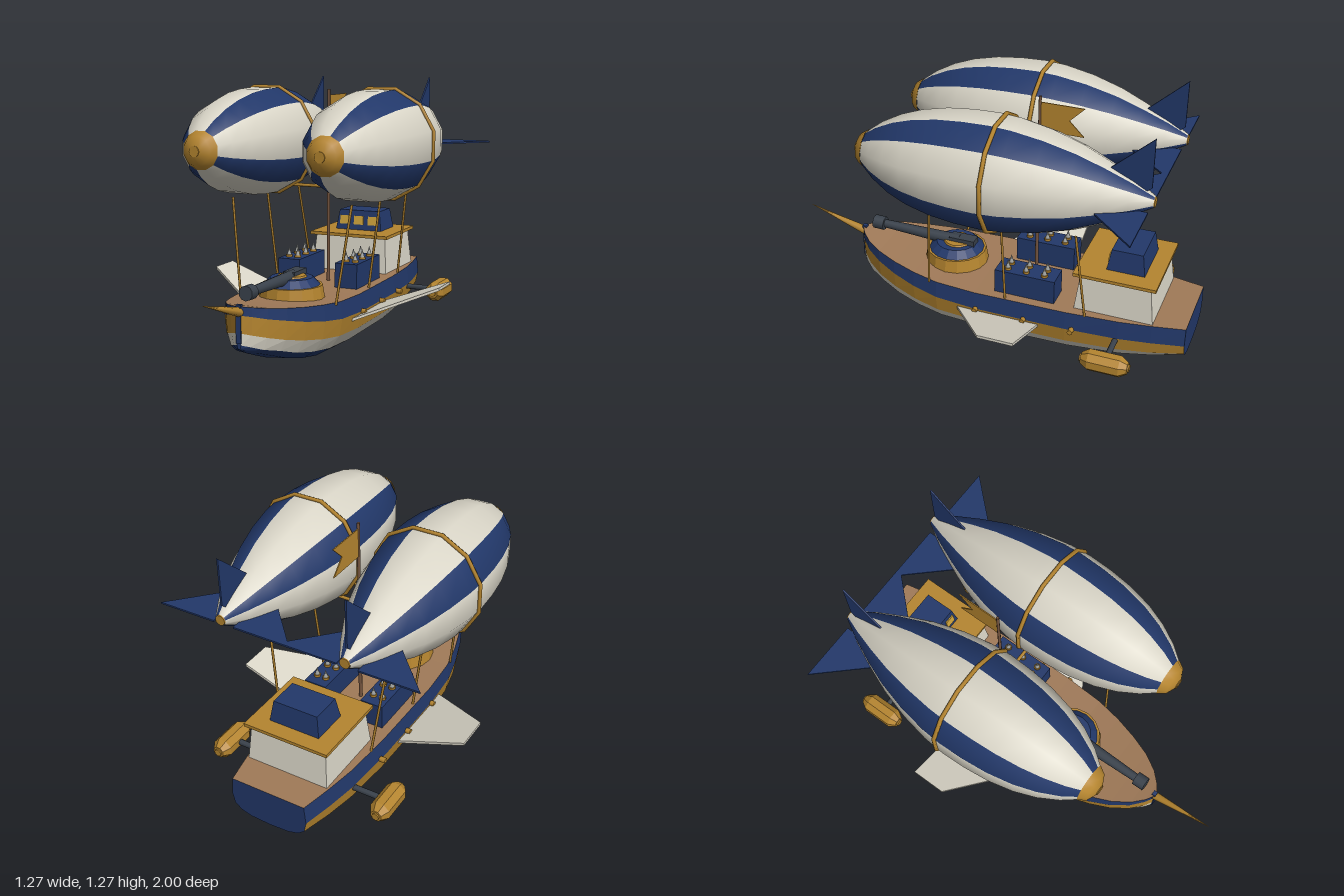
import * as THREE from 'three';

const paint = (name, color) => Object.assign(new THREE.MeshStandardMaterial({ color }), { name });

export function createModel() {
  const navy = paint('navy', 0x22386a), gold = paint('gold', 0xb5852f), cream = paint('cream', 0xdad6c8);
  const wood = paint('deck wood', 0xa07a58), slate = paint('slate', 0x3a424c), mastWood = paint('mast wood', 0x74543e);
  const steel = paint('steel', 0xa0a29f), glass = paint('lamp yellow', 0xd0a43c);
  const model = new THREE.Group();
  model.name = 'airship';
  const rad = THREE.MathUtils.degToRad;

  const add = (name, geo, mat, x = 0, y = 0, z = 0, parent = model) => {
    const m = new THREE.Mesh(geo, mat);
    m.name = name;
    m.position.set(x, y, z);
    parent.add(m);
    return m;
  };
  const flat = (geo) => {
    const g = geo.index ? geo.toNonIndexed() : geo;
    g.computeVertexNormals();
    return g;
  };
  const box = (w, h, d) => new THREE.BoxGeometry(w, h, d);
  // Box whose top is narrowed
  const taperBox = (w, h, d, sx, sz) => {
    const g = box(w, h, d), p = g.attributes.position;
    for (let i = 0; i < p.count; i++) if (p.getY(i) > 0) p.setXYZ(i, p.getX(i) * sx, p.getY(i), p.getZ(i) * sz);
    return flat(g);
  };
  // Round bar between two points
  const rod = (name, a, b, r0, r1, mat, sides = 8) => {
    const A = new THREE.Vector3(...a), B = new THREE.Vector3(...b), d = B.clone().sub(A);
    const m = add(name, new THREE.CylinderGeometry(r1, r0, d.length(), sides), mat);
    m.position.copy(A).add(B).multiplyScalar(0.5);
    m.quaternion.setFromUnitVectors(new THREE.Vector3(0, 1, 0), d.normalize());
    return m;
  };
  // Lathe lying along z; angles are counter-clockwise from +x seen from the front
  const zLathe = (pts, sides, from, to) => new THREE.LatheGeometry(
    pts.map(([z, r]) => new THREE.Vector2(r, z)), sides, rad(from + 90), rad(to - from)).rotateX(Math.PI / 2);
  const plate = (pts, t) => {
    const s = new THREE.Shape(pts.map((p) => new THREE.Vector2(...p)));
    return new THREE.ExtrudeGeometry(s, { depth: t, bevelEnabled: false }).translate(0, 0, -t / 2);
  };

  // Hull stations: z, half width, deck y, blue/gold y, gold/cream y, cream/navy y, keel y
  const stations = [
    [-1, 0.185, 0.283, 0.195, 0.145, 0.118, 0.098],
    [-0.85, 0.215, 0.283, 0.195, 0.132, 0.09, 0.055],
    [-0.7, 0.238, 0.283, 0.195, 0.125, 0.072, 0.025],
    [-0.45, 0.255, 0.283, 0.197, 0.12, 0.06, 0.006],
    [0, 0.26, 0.283, 0.2, 0.12, 0.058, 0.002],
    [0.2, 0.25, 0.288, 0.208, 0.126, 0.064, 0.007],
    [0.33, 0.225, 0.298, 0.224, 0.14, 0.078, 0.028],
    [0.45, 0.19, 0.31, 0.245, 0.16, 0.1, 0.06],
    [0.55, 0.15, 0.323, 0.268, 0.182, 0.13, 0.095],
    [0.63, 0.1, 0.335, 0.287, 0.205, 0.15, 0.125],
    [0.68, 0.05, 0.344, 0.303, 0.222, 0.17, 0.148],
    [0.705, 0.012, 0.35, 0.31, 0.232, 0.18, 0.16],
  ];
  const widths = [1, 1.04, 0.98, 0.8, 0.52, 0];
  const pt = (i, j, s) => {
    const [z, w, a, b, c, d, k] = stations[i];
    return [s * w * widths[j], [a, b, c, d, k + (d - k) * 0.25, k][j], z];
  };
  const faces = (quads) => {
    const g = new THREE.BufferGeometry(), v = [];
    for (const q of quads) for (let n = 1; n < q.length - 1; n++) v.push(...q[0], ...q[n], ...q[n + 1]);
    g.setAttribute('position', new THREE.Float32BufferAttribute(v, 3));
    g.computeVertexNormals();
    return g;
  };
  const last = stations.length - 1;
  const band = (rows) => {
    const quads = [];
    for (const j of rows) for (let i = 0; i < last; i++) for (const s of [1, -1]) {
      const q = [pt(i, j, s), pt(i + 1, j, s), pt(i + 1, j + 1, s), pt(i, j + 1, s)];
      quads.push(s > 0 ? q : q.reverse());
    }
    return faces(quads);
  };
  add('hullTopBand', band([0]), navy);
  add('hullGoldBand', band([1]), gold);
  add('hullCreamBand', band([2]), cream);
  add('hullBottom', band([3, 4]), navy);
  add('deck', faces(stations.slice(1).map((_, i) => [pt(i, 0, 1), pt(i, 0, -1), pt(i + 1, 0, -1), pt(i + 1, 0, 1)])), wood);
  const outline = (i) => [0, 1, 2, 3, 4, 5].map((j) => pt(i, j, 1)).concat([4, 3, 2, 1, 0].map((j) => pt(i, j, -1)));
  add('transom', faces([outline(0)]), navy);
  add('bowEnd', faces([outline(last).reverse()]), navy);
  add('stem', box(0.024, 0.17, 0.02), navy, 0, 0.272, 0.7);
  rod('bowsprit', [0, 0.312, 0.66], [0, 0.414, 1], 0.024, 0.001, gold);

  // Gun turret
  add('turretBase', flat(new THREE.CylinderGeometry(0.145, 0.155, 0.065, 16)), gold, 0, 0.315, 0.195);
  add('turretDome', flat(new THREE.CylinderGeometry(0.1, 0.135, 0.035, 16)), navy, 0, 0.364, 0.195);
  add('turretHatch', new THREE.CylinderGeometry(0.065, 0.07, 0.008, 12), gold, 0, 0.385, 0.19);
  add('gunMount', box(0.06, 0.035, 0.13), slate, 0, 0.39, 0.16);
  rod('gunBarrel', [0, 0.38, 0.18], [0, 0.391, 0.6], 0.032, 0.02, slate, 10);
  rod('muzzle', [0, 0.39, 0.585], [0, 0.392, 0.642], 0.034, 0.034, slate, 10);

  // Deckhouse and bridge
  add('deckhouse', taperBox(0.41, 0.185, 0.375, 0.93, 0.88), cream, 0, 0.373, -0.662);
  add('deckhouseRoof', box(0.426, 0.016, 0.39), gold, 0, 0.47, -0.66);
  add('bridge', taperBox(0.254, 0.102, 0.18, 0.88, 0.82), navy, 0, 0.528, -0.69);
  for (const x of [-0.078, 0, 0.078])
    add('bridgeWindow', box(0.052, 0.045, 0.009), glass, x, 0.528, -0.606).rotation.x = -0.157;

  // Mast with swallowtail flag
  rod('mast', [0, 0.28, -0.22], [0, 1.228, -0.22], 0.009, 0.007, mastWood);
  add('flag', plate([[0.225, 1.2], [0.43, 1.2], [0.36, 1.13], [0.43, 1.06], [0.225, 1.06]], 0.005)
    .rotateY(Math.PI / 2), gold);
  rod('crossbeam', [-0.165, 0.763, -0.15], [0.165, 0.763, -0.15], 0.008, 0.008, gold);

  // Envelope profile from tail to nose cap
  const profile = [[-0.835, 0.026], [-0.74, 0.082], [-0.62, 0.14], [-0.5, 0.19], [-0.36, 0.231], [-0.22, 0.257],
    [-0.12, 0.264], [0, 0.26], [0.12, 0.247], [0.24, 0.22], [0.34, 0.183], [0.43, 0.134], [0.49, 0.088]];
  const sideFin = [[0.05, 0.82], [0.33, 0.82], [0.13, 0.605], [0.05, 0.605]];
  const topFin = [[0.64, 0.08], [0.64, 0.127], [0.82, 0.29], [0.82, 0.063], [0.78, 0.03]];

  for (const s of [1, -1]) {
    const balloon = new THREE.Group();
    balloon.name = s > 0 ? 'leftBalloon' : 'rightBalloon';
    balloon.position.set(s * 0.303, 0.98, 0);
    model.add(balloon);
    for (let k = 0; k < 4; k++) {
      const a = 45 + k * 90;
      add('navyStripe', zLathe(profile, 1, a, a + 30), navy, 0, 0, 0, balloon);
      add('creamPanel', zLathe(profile, 2, a + 30, a + 90), cream, 0, 0, 0, balloon);
    }
    add('noseCap', zLathe([[0.49, 0.09], [0.525, 0.068], [0.545, 0.026], [0.546, 0]], 12, 15, 375), gold, 0, 0, 0, balloon);
    add('noseTip', new THREE.CylinderGeometry(0.025, 0.025, 0.012, 12).rotateX(Math.PI / 2), gold, 0, 0, 0.543, balloon);
    add('tailTip', new THREE.CylinderGeometry(0.024, 0.024, 0.012, 12).rotateX(Math.PI / 2), gold, 0, 0, -0.833, balloon);
    add('girthRing', new THREE.TorusGeometry(0.266, 0.01, 6, 12).rotateZ(rad(15)), gold, 0, 0, -0.15, balloon);
    add('topFin', plate(topFin, 0.008).rotateY(Math.PI / 2), navy, 0, 0, 0, balloon);
    for (const t of [1, -1])
      add('sideFin', plate(sideFin.map(([x, z]) => [t * x, z]), 0.008).rotateX(-Math.PI / 2), navy, 0, -0.031, 0, balloon);

    // Struts from deck edge to envelope
    for (const [z0, z1] of [[0.24, 0.2], [-0.15, -0.15], [-0.54, -0.5]])
      rod('strut', [s * 0.245, 0.28, z0], [s * 0.303, 0.735, z1], 0.006, 0.006, gold, 6);

    // Rocket box with two rows of rockets
    add('rocketBox', box(0.115, 0.125, 0.295), navy, s * 0.152, 0.34, -0.232);
    for (const x of [0.13, 0.177]) for (const z of [-0.14, -0.23, -0.32]) {
      add('rocketCollar', new THREE.CylinderGeometry(0.017, 0.017, 0.012, 8), gold, s * x, 0.407, z);
      add('rocketTip', new THREE.ConeGeometry(0.014, 0.046, 8), steel, s * x, 0.43, z);
    }

    // Swept wing, thickness hung below its upper face
    const quad = [[0.26, 0.185, 0.09], [0.6, 0.313, -0.15], [0.6, 0.313, -0.32], [0.26, 0.185, -0.32]]
      .map(([x, y, z]) => [s * x, y, z]);
    const under = quad.map(([x, y, z]) => [x, y - 0.014, z]);
    const wing = [quad, [...under].reverse(), ...quad.map((_, i) => {
      const n = (i + 1) % 4;
      return [quad[i], under[i], under[n], quad[n]];
    })];
    add('wing', faces(s > 0 ? wing : wing.map((q) => [...q].reverse())), cream);
    for (const z of [-0.01, -0.25, -0.485])
      rod('hullPeg', [s * 0.24, 0.2, z], [s * 0.29, 0.2, z], 0.013, 0.013, gold);

    // Engine pod on a pylon
    rod('enginePylon', [s * 0.2, 0.182, -0.69], [s * 0.4, 0.182, -0.69], 0.014, 0.014, slate);
    add('enginePod', flat(zLathe([[-0.8, 0], [-0.8, 0.028], [-0.765, 0.05], [-0.62, 0.05], [-0.585, 0.028], [-0.585, 0]],
      8, 22.5, 382.5)), gold, s * 0.42, 0.182, 0);
    add('engineHub', new THREE.CylinderGeometry(0.018, 0.018, 0.23, 8).rotateX(Math.PI / 2), gold, s * 0.42, 0.182, -0.692);
  }
  return model;
}
